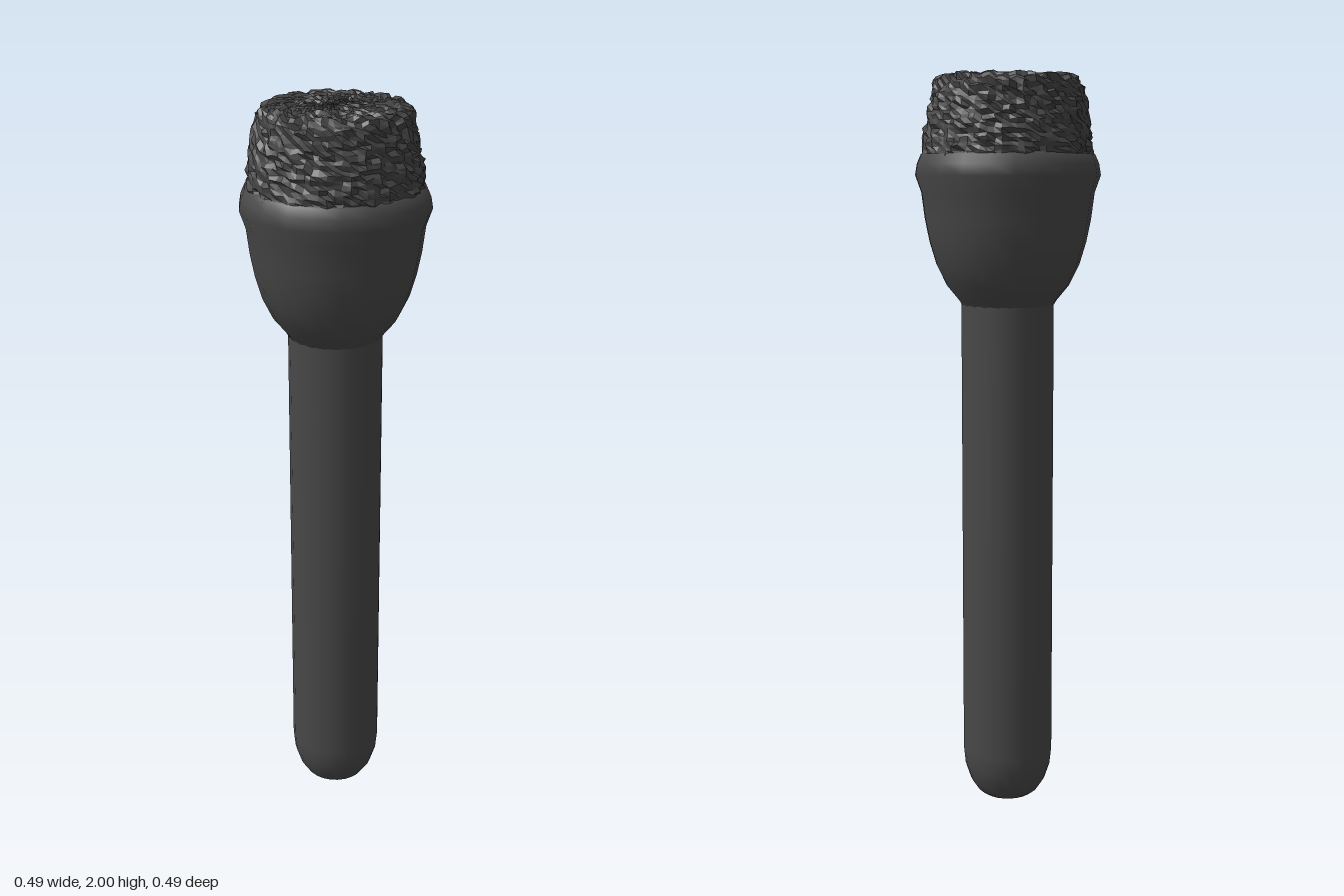
import * as THREE from 'three';
import { mergeVertices } from 'three/addons/utils/BufferGeometryUtils.js';

const body = new THREE.MeshStandardMaterial({ color: 0x484848 });
body.name = 'charcoal body';
const mesh = new THREE.MeshStandardMaterial({ color: 0x454545, flatShading: true });
mesh.name = 'charcoal grille';

const toPoints = (list) => list.map(([r, y]) => new THREE.Vector2(r, y));

// Small seeded random generator
function seeded(seed) {
  let s = seed;
  return () => {
    s = (s * 16807) % 2147483647;
    return s / 2147483647;
  };
}

function lathePart(name, profile, segments) {
  const part = new THREE.Mesh(new THREE.LatheGeometry(toPoints(profile), segments), body);
  part.name = name;
  return part;
}

// Dense lathe whose vertices are shaken to look like coarse wire gauze
function grilleGeometry() {
  const outline = new THREE.CurvePath();
  const corners = toPoints([[0.226, 1.785], [0.217, 1.86], [0.199, 1.955], [0.165, 1.992], [0, 1.992]]);
  outline.add(new THREE.LineCurve(corners[0], corners[1]));
  outline.add(new THREE.LineCurve(corners[1], corners[2]));
  outline.add(new THREE.QuadraticBezierCurve(corners[2], new THREE.Vector2(0.193, 1.992), corners[3]));
  outline.add(new THREE.LineCurve(corners[3], corners[4]));
  const lathe = new THREE.LatheGeometry(outline.getSpacedPoints(34), 72);
  lathe.deleteAttribute('uv');
  lathe.deleteAttribute('normal');
  const geometry = mergeVertices(lathe, 1e-4);
  const random = seeded(7);
  const p = geometry.attributes.position;
  const v = new THREE.Vector3();
  for (let i = 0; i < p.count; i++) {
    v.fromBufferAttribute(p, i);
    const r = Math.hypot(v.x, v.z);
    const depth = (random() - 0.55) * 0.014;
    const side = r > 0.18 ? 1 + depth / r : 1;
    const lift = r < 0.2 ? depth : (random() - 0.5) * 0.006;
    v.set(
      v.x * side + (random() - 0.5) * 0.005,
      Math.min(2, v.y + lift),
      v.z * side + (random() - 0.5) * 0.005
    );
    p.setXYZ(i, v.x, v.y, v.z);
  }
  geometry.computeVertexNormals();
  return geometry;
}

export function createModel() {
  const model = new THREE.Group();
  model.name = 'microphone';

  // Straight handle with a rounded butt
  model.add(lathePart('handle', [
    [0, 0], [0.07, 0.004], [0.085, 0.015], [0.105, 0.045],
    [0.12, 0.09], [0.125, 0.14], [0.125, 0.75], [0.125, 1.42],
  ], 24));

  // Cup that flares out from the handle to the collar
  model.add(lathePart('headCup', [
    [0.12, 1.385], [0.132, 1.405], [0.165, 1.445], [0.192, 1.5], [0.21, 1.56],
    [0.222, 1.62], [0.231, 1.69], [0.247, 1.735], [0.242, 1.765], [0.231, 1.79], [0.215, 1.795],
  ], 22));

  // Rough gauze cap
  const grille = new THREE.Mesh(grilleGeometry(), mesh);
  grille.name = 'grille';
  model.add(grille);

  return model;
}
